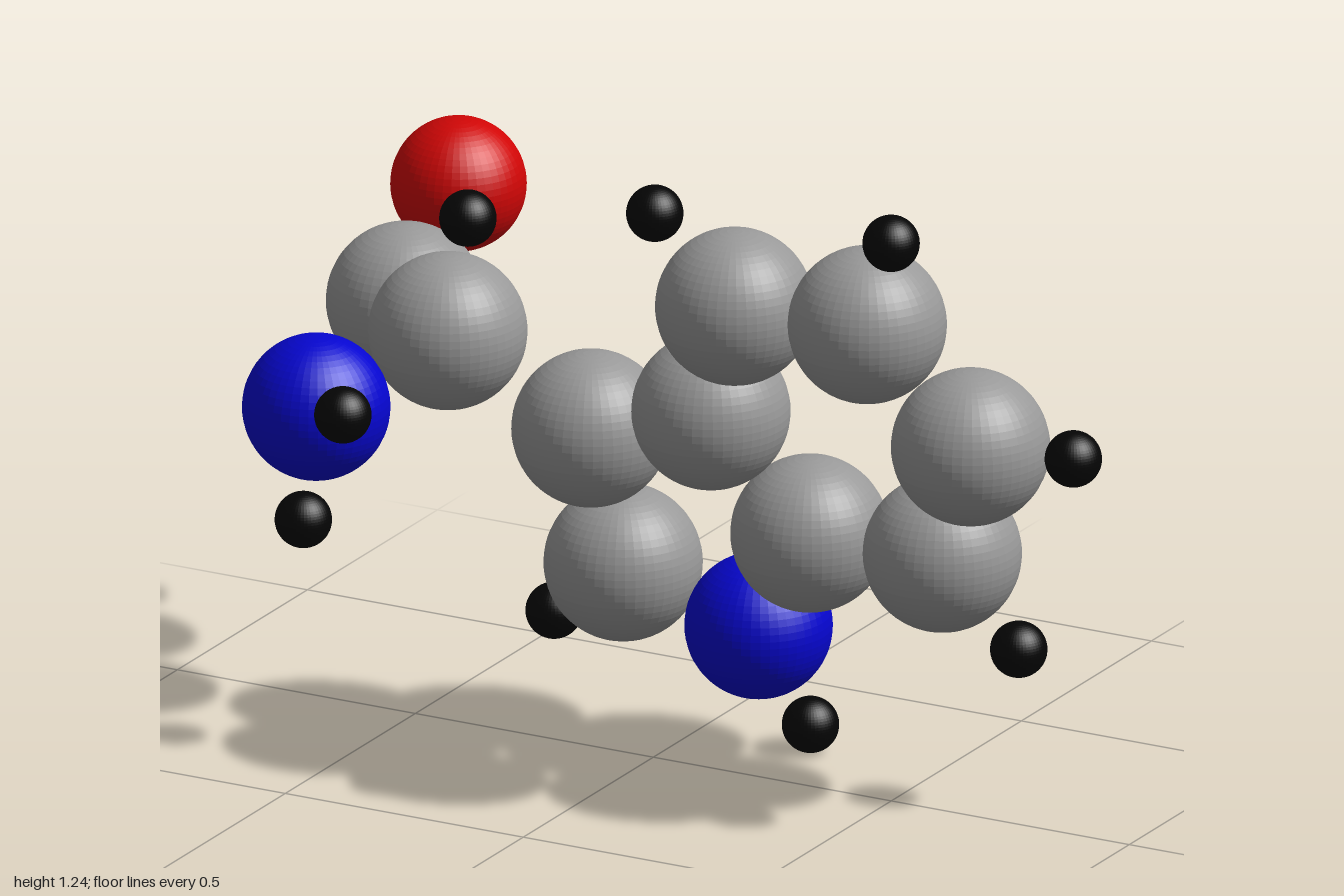
import * as THREE from 'three';

// Radius and colour of each kind of ball
const KINDS = {
  carbon: { radius: 0.147, color: 0x999999 },
  nitrogen: { radius: 0.137, color: 0x0606d0 },
  oxygen: { radius: 0.126, color: 0xd00606 },
  hydrogen: { radius: 0.053, color: 0x050505 },
};

// Ball centres: name, kind, x, y, z
const ATOMS = [
  // six-sided ring
  ['benzeneRing1', 'carbon', 0.132, 0.707, 0.02],
  ['benzeneRing2', 'carbon', 0.242, 0.965, 0.13],
  ['benzeneRing3', 'carbon', 0.537, 0.989, 0.16],
  ['benzeneRing4', 'carbon', 0.718, 0.76, 0.094],
  ['benzeneRing5', 'carbon', 0.604, 0.501, -0.006],
  ['benzeneRing6', 'carbon', 0.31, 0.481, -0.035],
  // five-sided ring
  ['pyrroleRing1', 'carbon', -0.142, 0.614, -0.02],
  ['pyrroleRing2', 'carbon', -0.118, 0.331, -0.1],
  ['pyrroleNitrogen', 'nitrogen', 0.16, 0.251, -0.112],
  // side chain
  ['chainCarbon', 'carbon', -0.412, 0.776, 0.036],
  ['acidCarbon', 'carbon', -0.625, 0.728, -0.191],
  ['acidOxygen', 'oxygen', -0.629, 0.89, -0.402],
  ['hydroxylOxygen', 'oxygen', -0.808, 0.497, -0.182],
  ['amineNitrogen', 'nitrogen', -0.535, 0.694, 0.317],
  // hydrogens
  ['benzeneHydrogen1', 'hydrogen', 0.102, 1.139, 0.181],
  ['benzeneHydrogen2', 'hydrogen', 0.628, 1.187, 0.235],
  ['benzeneHydrogen3', 'hydrogen', 0.947, 0.783, 0.118],
  ['benzeneHydrogen4', 'hydrogen', 0.74, 0.322, -0.051],
  ['pyrroleHydrogen1', 'hydrogen', 0.239, 0.053, -0.167],
  ['pyrroleHydrogen2', 'hydrogen', -0.292, 0.19, -0.153],
  ['chainHydrogen', 'hydrogen', -0.365, 1.007, 0.045],
  ['amineHydrogen1', 'hydrogen', -0.391, 0.753, 0.478],
  ['amineHydrogen2', 'hydrogen', -0.556, 0.473, 0.328],
  ['hydroxylHydrogen', 'hydrogen', -0.947, 0.458, -0.341],
];

export function createModel() {
  const model = new THREE.Group();
  model.name = 'molecule';

  // One shared geometry and material per kind
  const parts = {};
  for (const [kind, { radius, color }] of Object.entries(KINDS)) {
    parts[kind] = {
      geometry: new THREE.SphereGeometry(radius, 48, 32),
      material: new THREE.MeshStandardMaterial({ color, flatShading: true }),
    };
  }

  for (const [name, kind, x, y, z] of ATOMS) {
    const atom = new THREE.Mesh(parts[kind].geometry, parts[kind].material);
    atom.name = name;
    atom.position.set(x, y, z);
    model.add(atom);
  }
  return model;
}
